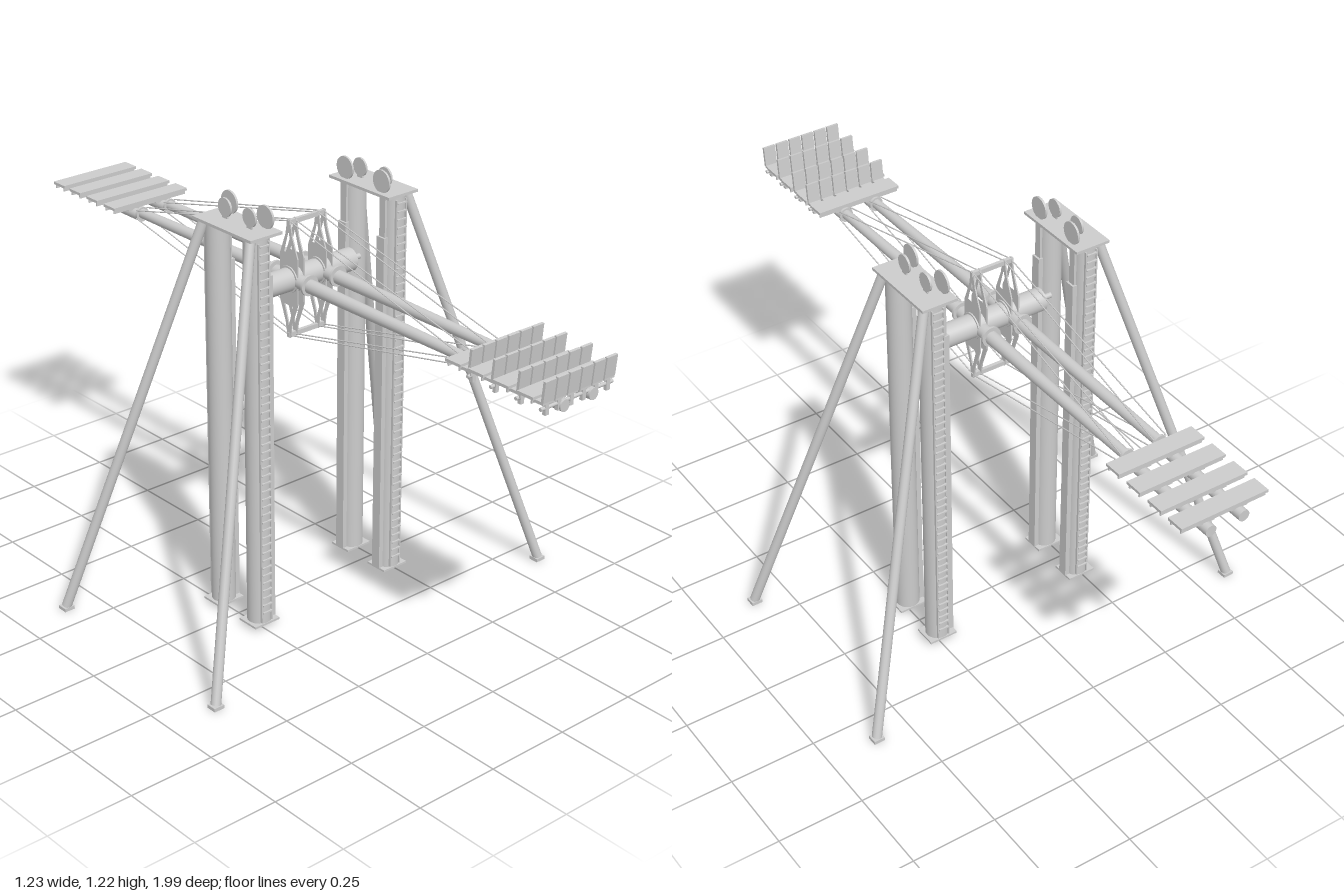
import * as THREE from 'three';

const mat = new THREE.MeshStandardMaterial({ color: 0xcccccc });
const V = (x, y, z) => new THREE.Vector3(x, y, z);
const HUB_Y = 0.957;

function add(parent, name, geo, x = 0, y = 0, z = 0) {
  const m = new THREE.Mesh(geo, mat);
  m.name = name;
  m.position.set(x, y, z);
  parent.add(m);
  return m;
}
const box = (p, name, w, h, d, x, y, z) => add(p, name, new THREE.BoxGeometry(w, h, d), x, y, z);

// Cylinder between two points, with its own radius at each end
function rod(parent, name, a, b, ra, rb = ra, sides = 16) {
  const m = add(parent, name, new THREE.CylinderGeometry(rb, ra, a.distanceTo(b), sides));
  m.position.copy(a).add(b).multiplyScalar(0.5);
  m.quaternion.setFromUnitVectors(V(0, 1, 0), b.clone().sub(a).normalize());
  return m;
}

// One tower: two columns with rungs, cap plate, pulleys and two splayed legs
function tower(s) {
  const g = new THREE.Group();
  g.name = s > 0 ? 'leftTower' : 'rightTower';
  for (const f of [1, -1]) {
    const x = s * 0.24, z = f * 0.078;
    rod(g, 'column', V(x, 0.012, z), V(x, 1.153, z), 0.034, 0.034, 28);
    box(g, 'columnBase', 0.086, 0.006, 0.07, x, 0.013, z);
    box(g, 'guideRail', 0.014, 1.02, 0.03, s * 0.202, 0.523, z);
    box(g, 'upperGuideRail', 0.008, 0.12, 0.022, s * 0.205, 1.09, z);
    for (const e of [-1, 1]) box(g, 'ladderRail', 0.004, 1.12, 0.008, x + e * 0.017, 0.58, z + f * 0.031);
    for (let i = 0; i < 47; i++)
      box(g, 'rung', 0.032, 0.004, 0.009, x, 0.05 + i * 0.0235, z + f * 0.034);

    rod(g, 'supportLeg', V(s * 0.272, 1.15, f * 0.095), V(s * 0.6, 0.01, f * 0.333), 0.014);
    box(g, 'legFoot', 0.032, 0.01, 0.03, s * 0.6, 0.005, f * 0.333);

    // Cable pulleys standing on the cap plate
    for (const [px, pz, r] of [[0.202, 0.073, 0.032], [0.236, 0.05, 0.026]]) {
      rod(g, 'pulley', V(s * px - 0.003, 1.19, f * pz), V(s * px + 0.003, 1.19, f * pz), r, r, 24);
      box(g, 'pulleyBracket', 0.005, 0.04, 0.02, s * px, 1.175, f * pz);
    }
  }
  box(g, 'capPlate', 0.106, 0.008, 0.24, s * 0.238, 1.156, 0);
  return g;
}

// Pointed king post plate with a slot above and below the hub
function postGeometry() {
  const pts = [[0.005, 0.17], [0.013, 0.125], [0.036, 0.065], [0.036, -0.065], [0.013, -0.125], [0.005, -0.17]];
  const shape = new THREE.Shape([
    ...pts.map(([z, y]) => new THREE.Vector2(z, y)),
    ...pts.slice().reverse().map(([z, y]) => new THREE.Vector2(-z, y)),
  ]);
  for (const s of [1, -1]) shape.holes.push(new THREE.Path([
    new THREE.Vector2(0, s * 0.135), new THREE.Vector2(0.018, s * 0.075), new THREE.Vector2(-0.018, s * 0.075),
  ]));
  const geo = new THREE.ExtrudeGeometry(shape, { depth: 0.004, bevelEnabled: false });
  return geo.translate(0, 0, -0.002).rotateY(-Math.PI / 2);
}

// Axle, drum, king posts and the two long beams with stay cables
function swingArm() {
  const g = new THREE.Group();
  g.name = 'swingArm';
  rod(g, 'axle', V(-0.19, HUB_Y, 0), V(0.19, HUB_Y, 0), 0.008);
  rod(g, 'hubDrum', V(-0.157, HUB_Y, 0), V(0.157, HUB_Y, 0), 0.033, 0.033, 32);
  const post = postGeometry();
  for (const s of [1, -1]) {
    const x = s * 0.05;
    for (const e of [-1, 1]) add(g, 'kingPost', post, x + e * 0.011, HUB_Y, 0);
    rod(g, 'hubCollar', V(x - 0.017, HUB_Y, 0), V(x + 0.017, HUB_Y, 0), 0.038, 0.038, 28);
    box(g, 'postCrossbar', 0.13, 0.013, 0.01, 0, HUB_Y + s * 0.162, 0);
    for (const f of [1, -1]) {
      const root = V(x, HUB_Y - 0.001, 0), joint = V(x, 0.95, f * 0.665);
      rod(g, 'beam', root, joint, 0.02, 0.014, 20);
      rod(g, 'platformBeam', V(x, 0.941, f * 0.66), V(x, 0.941, f * 0.995), 0.016, 0.016, 20);
      rod(g, 'rootFlange', V(x, HUB_Y, f * 0.066), V(x, HUB_Y, f * 0.073), 0.029, 0.029, 20);
      rod(g, 'jointFlange', V(x, 0.948, f * 0.66), V(x, 0.948, f * 0.667), 0.021, 0.021, 20);
      for (const e of [1, -1]) for (const v of [1, -1])
        rod(g, 'stayCable', V(x + e * 0.009, HUB_Y + v * 0.165, 0),
          V(x + e * 0.019, 0.95 + v * 0.012, f * 0.665), 0.0018, 0.0018, 6);
    }
  }
  return g;
}

// Row of planks across the beams, with upright seats when wanted
function platform(f, rows, withSeats) {
  const g = new THREE.Group();
  g.name = withSeats ? 'seatPlatform' : 'plankPlatform';
  for (const r of rows) {
    const z = f * r;
    box(g, 'plank', 0.262, 0.008, 0.053, 0, 0.973, z);
    for (const e of [1, -1]) {
      box(g, 'plankLip', 0.256, 0.014, 0.004, 0, 0.965, z + e * 0.019);
      box(g, 'plankSaddle', 0.05, 0.018, 0.036, e * 0.05, 0.961, z);
    }
    if (!withSeats) continue;
    for (let i = 0; i < 6; i++) {
      const x = (i - 2.5) * 0.0425;
      box(g, 'seatBack', 0.037, 0.058, 0.008, x, 0.997, z + 0.053).rotation.x = 0.1;
      box(g, 'seatPan', 0.035, 0.008, 0.034, x, 0.966, z + 0.036);
      box(g, 'seatStem', 0.012, 0.032, 0.01, x, 0.948, z + 0.046);
    }
    rod(g, 'seatRail', V(-0.125, 0.95, z + 0.046), V(0.125, 0.95, z + 0.046), 0.005, 0.005, 8);
  }
  return g;
}

export function createModel() {
  const model = new THREE.Group();
  model.name = 'swingRide';
  model.add(tower(1), tower(-1), swingArm());
  model.add(platform(1, [0.695, 0.773, 0.858, 0.939], true));
  model.add(platform(-1, [0.712, 0.795, 0.878, 0.957], false));
  return model;
}
